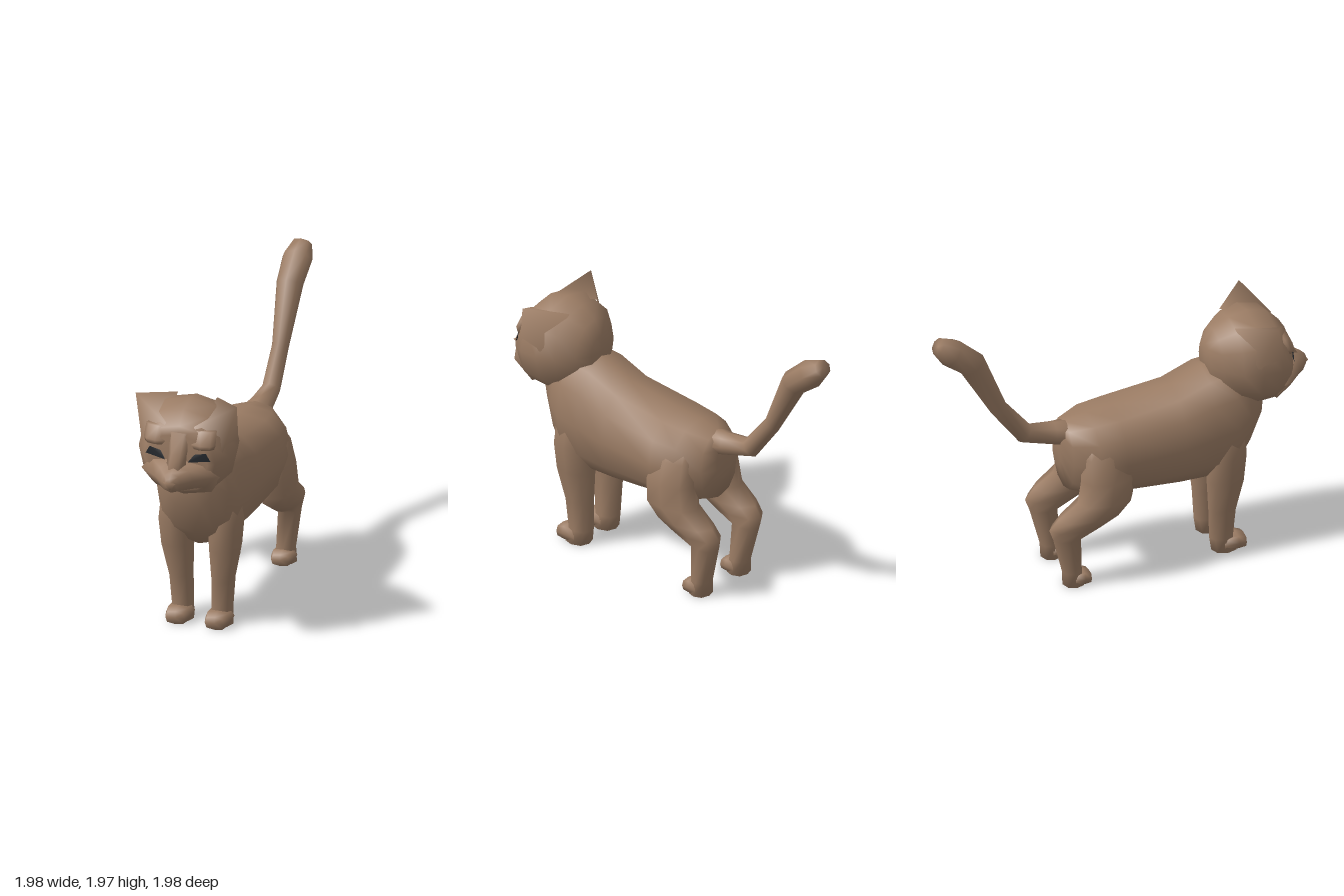
import * as THREE from 'three';

const fur = new THREE.MeshStandardMaterial({ color: 0x9b7c64 });
fur.name = 'brownFur';
const dark = new THREE.MeshStandardMaterial({ color: 0x22262b, side: THREE.DoubleSide });
dark.name = 'darkEye';

// Skin closed sections [x, y, z, radius across, radius along v]; dir is the
// section normal, or null to follow the path. power < 1 makes sections boxier.
function loft(rings, dir, sides = 10, power = 1) {
  const pos = [], idx = [], n = rings.length;
  const centre = (i) => new THREE.Vector3(...rings[i].slice(0, 3));
  const bend = (s) => Math.sign(s) * Math.abs(s) ** power;
  rings.forEach(([x, y, z, ru, rv], i) => {
    const t = dir ? new THREE.Vector3(...dir)
      : centre(Math.min(i + 1, n - 1)).sub(centre(Math.max(i - 1, 0))).normalize();
    const v = t.cross(new THREE.Vector3(1, 0, 0));
    for (let k = 0; k < sides; k++) {
      const a = (k / sides) * Math.PI * 2;
      const c = bend(Math.cos(a)) * ru, s = bend(Math.sin(a)) * rv;
      pos.push(x + c, y + v.y * s, z + v.z * s);
    }
  });
  for (let i = 0; i < n - 1; i++) for (let k = 0; k < sides; k++) {
    const a = i * sides + k, b = i * sides + (k + 1) % sides;
    idx.push(a, b, b + sides, a, b + sides, a + sides);
  }
  // End caps
  const first = n * sides, off = (n - 1) * sides;
  pos.push(...rings[0].slice(0, 3), ...rings[n - 1].slice(0, 3));
  for (let k = 0; k < sides; k++) {
    const m = (k + 1) % sides;
    idx.push(first, m, k, first + 1, off + k, off + m);
  }
  return solid(pos, idx);
}

// Smooth indexed surface
function solid(pos, idx) {
  const g = new THREE.BufferGeometry();
  g.setAttribute('position', new THREE.Float32BufferAttribute(pos, 3));
  g.setIndex(idx);
  g.computeVertexNormals();
  return g;
}

// Section along z given by half width, bottom and top
const slab = (z, w, bottom, top) => [0, (bottom + top) / 2, z, w, (top - bottom) / 2];

export function createModel() {
  const model = new THREE.Group();
  model.name = 'cat';
  const add = (name, geometry, material = fur) => {
    const mesh = new THREE.Mesh(geometry, material);
    mesh.name = name;
    model.add(mesh);
  };
  const Y = [0, 1, 0], Z = [0, 0, 1];

  // Torso from rump to neck
  add('body', loft([
    slab(-0.49, 0.08, 0.82, 1.1),
    slab(-0.44, 0.19, 0.64, 1.14),
    slab(-0.28, 0.3, 0.6, 1.18),
    slab(-0.1, 0.325, 0.59, 1.2),
    slab(0.33, 0.31, 0.555, 1.265),
    slab(0.55, 0.31, 0.55, 1.36),
    slab(0.72, 0.3, 0.58, 1.38),
    slab(0.82, 0.25, 0.7, 1.36),
    slab(0.93, 0.17, 0.92, 1.3),
  ], Z, 12, 0.85));

  // Tail, thin in the middle and heavier at the tip
  add('tail', loft([
    [0, 1.05, -0.34, 0.13, 0.09],
    [0, 1.07, -0.52, 0.085, 0.08],
    [0, 1.11, -0.72, 0.065, 0.07],
    [0, 1.35, -0.91, 0.06, 0.06],
    [0, 1.73, -1.1, 0.095, 0.095],
    [0, 1.85, -1.25, 0.105, 0.1],
    [0, 1.92, -1.345, 0.07, 0.06],
  ], null, 8));

  // Head
  add('head', loft([
    slab(0.58, 0.11, 1.28, 1.52),
    slab(0.64, 0.2, 1.17, 1.62),
    slab(0.75, 0.3, 1.09, 1.69),
    slab(0.88, 0.335, 1.06, 1.72),
    slab(1.02, 0.32, 1.07, 1.69),
    slab(1.11, 0.255, 1.12, 1.6),
    slab(1.135, 0.21, 1.15, 1.55),
  ], Z, 12, 0.9));

  // Wedge muzzle running from cheek to cheek, and the bridge above it
  add('muzzle', loft([
    slab(1.02, 0.27, 1.07, 1.38),
    slab(1.12, 0.265, 1.16, 1.375),
    slab(1.21, 0.14, 1.17, 1.35),
    slab(1.27, 0.07, 1.18, 1.32),
    slab(1.3, 0.035, 1.22, 1.29),
  ], Z, 8, 0.9));
  add('noseBridge', loft([
    [0, 1.3, 1.19, 0.07, 0.07],
    [0, 1.42, 1.14, 0.065, 0.05],
    [0, 1.56, 1.1, 0.09, 0.04],
  ], Y, 6));
  add('nose', solid(
    [-0.045, 1.265, 1.308, 0.045, 1.265, 1.308, 0, 1.21, 1.3, 0, 1.25, 1.25],
    [0, 2, 1, 0, 1, 3, 1, 2, 3, 2, 0, 3]));

  for (const s of [1, -1]) {
    const side = s > 0 ? 'left' : 'right';

    // Ear: tip, inner front, outer front, outer back, inner back
    const ear = [0.36, 1.735, 0.97, 0.1, 1.6, 1.1, 0.27, 1.36, 1.07, 0.325, 1.44, 0.84, 0.14, 1.68, 0.74];
    const earFaces = [0, 1, 2, 0, 2, 3, 0, 3, 4, 0, 4, 1];
    add(side + 'Ear', solid(
      ear.map((c, i) => (i % 3 ? c : s * c)),
      s > 0 ? earFaces : earFaces.reverse()));

    // Slanted eye and the brow over it
    add(side + 'Eye', solid(
      [0.08, 1.37, 1.168, 0.23, 1.385, 1.135, 0.2, 1.44, 1.14, 0.12, 1.425, 1.148]
        .map((c, i) => (i % 3 ? c : s * c)),
      s > 0 ? [0, 1, 2, 0, 2, 3] : [2, 1, 0, 3, 2, 0]), dark);
    add(side + 'Brow', loft([
      [s * 0.16, 1.46, 1.1, 0.085, 0.045],
      [s * 0.16, 1.49, 1.1, 0.095, 0.05],
      [s * 0.15, 1.58, 1.06, 0.1, 0.05],
    ], Y, 8));

    // Front leg and paw
    add(side + 'FrontLeg', loft([
      [s * 0.14, 0, 0.66, 0.085, 0.09],
      [s * 0.14, 0.1, 0.64, 0.075, 0.085],
      [s * 0.15, 0.32, 0.645, 0.08, 0.1],
      [s * 0.17, 0.56, 0.66, 0.11, 0.135],
      [s * 0.175, 0.75, 0.665, 0.125, 0.145],
      [s * 0.165, 0.9, 0.66, 0.12, 0.14],
      [s * 0.14, 1.08, 0.64, 0.09, 0.1],
    ], Y, 8, 0.85));
    add(side + 'FrontPaw', loft([
      [s * 0.14, 0.05, 0.64, 0.085, 0.05],
      [s * 0.14, 0.055, 0.74, 0.085, 0.055],
      [s * 0.14, 0.045, 0.8, 0.07, 0.045],
    ], Z, 8, 0.6));

    // Hind leg: foot, hock, thigh, hip
    add(side + 'HindLeg', loft([
      [s * 0.2, 0, -0.45, 0.08, 0.075],
      [s * 0.2, 0.1, -0.46, 0.07, 0.07],
      [s * 0.215, 0.37, -0.5, 0.08, 0.1],
      [s * 0.22, 0.45, -0.43, 0.1, 0.2],
      [s * 0.225, 0.52, -0.34, 0.115, 0.23],
      [s * 0.225, 0.62, -0.23, 0.125, 0.2],
      [s * 0.215, 0.78, -0.21, 0.13, 0.19],
      [s * 0.18, 0.95, -0.22, 0.125, 0.17],
      [s * 0.13, 1.08, -0.22, 0.09, 0.12],
    ], Y, 8, 0.85));
    add(side + 'HindPaw', loft([
      [s * 0.2, 0.045, -0.46, 0.08, 0.045],
      [s * 0.2, 0.05, -0.39, 0.08, 0.05],
      [s * 0.2, 0.04, -0.34, 0.065, 0.04],
    ], Z, 8, 0.6));
  }

  // The cat stands diagonally, head towards -x and +z
  model.rotation.y = -Math.PI / 4;
  const root = new THREE.Group();
  root.name = 'catModel';
  root.add(model);
  return root;
}
